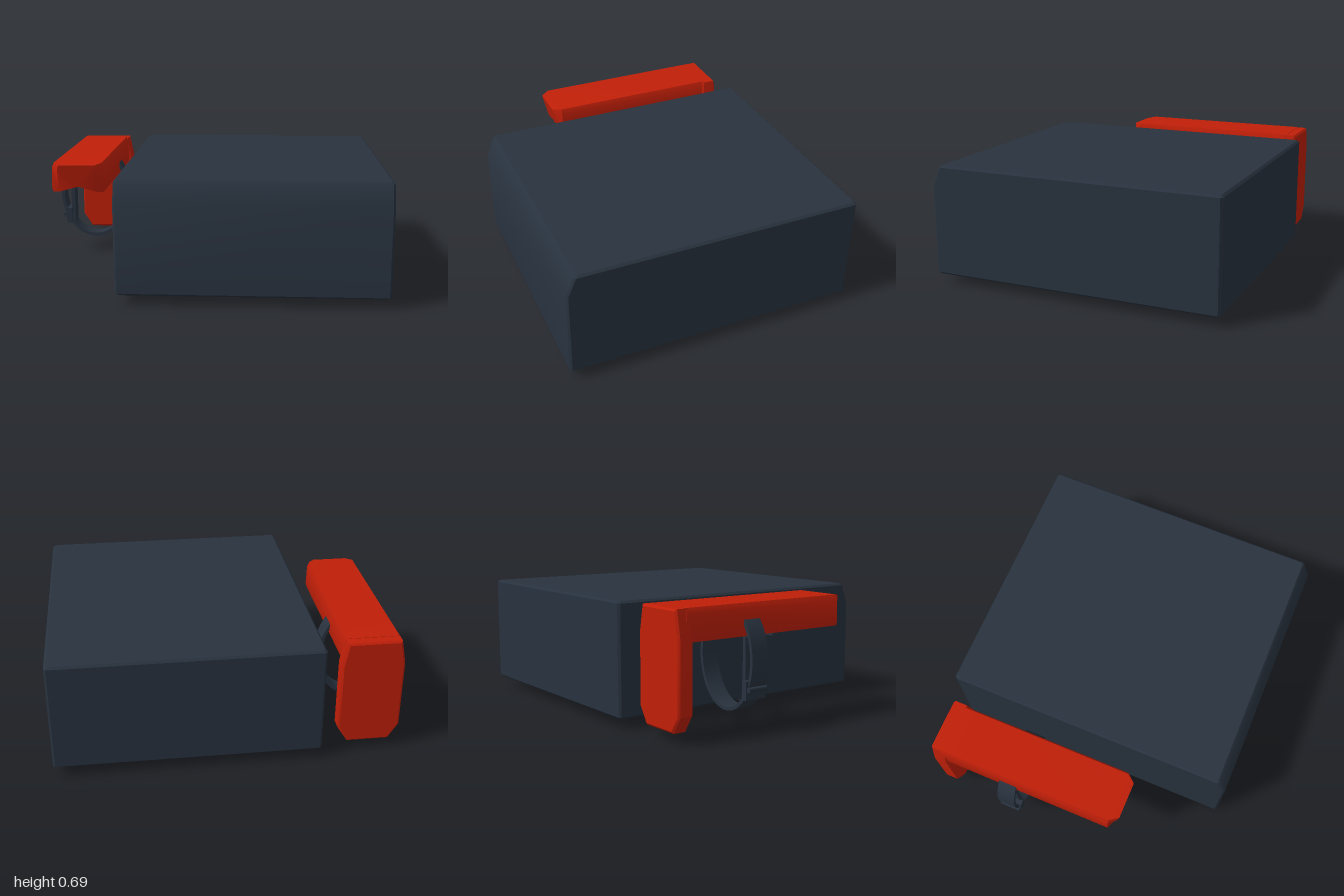
import * as THREE from 'three';
import { toCreasedNormals } from 'three/addons/utils/BufferGeometryUtils.js';

const mat = (name, color) => Object.assign(new THREE.MeshStandardMaterial({ color }), { name });

// Skin a list of closed rings; optional caps at either end
function loft(rings, capStart, capEnd) {
  const p = [];
  const tri = (...v) => v.forEach(q => p.push(...q));
  const n = rings[0].length;
  for (let r = 0; r < rings.length - 1; r++) {
    for (let i = 0; i < n; i++) {
      const j = (i + 1) % n, lo = rings[r], hi = rings[r + 1];
      tri(lo[i], lo[j], hi[j]);
      tri(lo[i], hi[j], hi[i]);
    }
  }
  const first = rings[0], last = rings[rings.length - 1];
  for (let i = 1; i < n - 1; i++) {
    if (capStart) tri(first[0], first[i + 1], first[i]);
    if (capEnd) tri(last[0], last[i], last[i + 1]);
  }
  const g = new THREE.BufferGeometry();
  g.setAttribute('position', new THREE.Float32BufferAttribute(p, 3));
  return toCreasedNormals(g, 0.5);
}

// Horizontal rectangle with cut corners
const rect = (y, x0, x1, z0, z1, c = 0.012) => [
  [x0 + c, y, z1], [x1 - c, y, z1], [x1, y, z1 - c], [x1, y, z0 + c],
  [x1 - c, y, z0], [x0 + c, y, z0], [x0, y, z0 + c], [x0, y, z1 - c]];

export function createModel() {
  const model = new THREE.Group();
  const slate = mat('slate', 0x28323e);
  const red = mat('signal red', 0xc01f08);
  const liner = mat('liner red', 0x8e0a0c);
  const brass = mat('brass', 0xbd8120);
  const steel = mat('steel', 0xa8aaac);

  const add = (name, geo, material, x = 0, y = 0, z = 0) => {
    const m = new THREE.Mesh(geo, material);
    m.name = name;
    m.position.set(x, y, z);
    model.add(m);
    return m;
  };
  const box = (name, w, h, d, m, x, y, z) => add(name, new THREE.BoxGeometry(w, h, d), m, x, y, z);
  const rod = (name, r, a, b, m, r2 = r) => {
    const va = new THREE.Vector3(...a), vb = new THREE.Vector3(...b), d = vb.clone().sub(va);
    const mesh = add(name, toCreasedNormals(new THREE.CylinderGeometry(r2, r, d.length(), 20), 0.7), m,
      ...va.clone().add(vb).multiplyScalar(0.5).toArray());
    mesh.quaternion.setFromUnitVectors(new THREE.Vector3(0, 1, 0), d.normalize());
    return mesh;
  };

  // Cabinet: jamb, rim, outer walls with sloped front top edge, lid
  add('cabinetShell', loft([
    rect(0.13, -0.29, 0.83, -0.61, 0.61),
    rect(0.13, -0.33, 0.86, -0.65, 0.65),
    rect(0.06, -0.33, 0.86, -0.65, 0.65),
    rect(0.055, -0.47, 0.985, -0.825, 0.825),
    rect(0.067, -0.485, 1, -0.84, 0.84),
    rect(0.565, -0.485, 1, -0.84, 0.84),
    rect(0.673, -0.485, 1, -0.84, 0.795),
    rect(0.685, -0.473, 0.988, -0.828, 0.783)], false, true), slate);
  add('cabinetLiner', loft([
    rect(0.62, -0.32, 0.85, -0.64, 0.64),
    rect(0.13, -0.32, 0.85, -0.64, 0.64)], false, false), liner);
  box('cabinetBackPanel', 1.17, 0.008, 1.28, red, 0.265, 0.62, 0);

  // Door frame around the opening
  const frame = new THREE.Shape([[-0.41, -0.74], [0.93, -0.74], [0.93, 0.74], [-0.41, 0.74]]
    .map(q => new THREE.Vector2(...q)));
  frame.holes.push(new THREE.Path([[-0.35, -0.67], [-0.35, 0.67], [0.88, 0.67], [0.88, -0.67]]
    .map(q => new THREE.Vector2(...q))));
  add('doorFrame', new THREE.ExtrudeGeometry(frame, { depth: 0.012, bevelEnabled: false }),
    slate, 0, 0.06, 0).rotation.x = Math.PI / 2;

  // Hinges and latch
  for (const z of [0.505, -0.48]) rod('hinge', 0.015, [0.885, 0.038, z - 0.075], [0.885, 0.038, z + 0.075], slate);
  box('latch', 0.07, 0.025, 0.13, slate, -0.36, 0.043, 0.07);
  box('latchCatch', 0.035, 0.008, 0.06, steel, -0.36, 0.028, 0.07);

  // Hydrant pipe, valve body, outlet and coupling
  const px = -0.06;
  rod('supplyPipe', 0.075, [px, 0.31, -0.64], [px, 0.31, -0.2], brass);
  rod('valveBody', 0.085, [px, 0.32, -0.28], [px, 0.31, 0.12], brass);
  for (const z of [-0.15, -0.05, 0.05, 0.13]) rod('valveRib', 0.1, [px, 0.31, z - 0.02], [px, 0.31, z + 0.02], brass);
  rod('valveNeck', 0.065, [px, 0.31, 0.12], [px, 0.33, 0.26], brass);
  rod('coupling', 0.06, [px, 0.33, 0.26], [px, 0.35, 0.43], slate);
  rod('couplingCollar', 0.075, [px, 0.34, 0.33], [px, 0.345, 0.38], slate);
  rod('outletPipe', 0.065, [px, 0.045, -0.265], [px, 0.34, -0.265], brass);
  rod('outletCollar', 0.07, [px, 0.03, -0.265], [px, 0.07, -0.265], brass);
  rod('outletMouth', 0.055, [px, 0.026, -0.265], [px, 0.034, -0.265], slate);
  rod('valveBonnet', 0.05, [px, 0.14, 0.025], [px, 0.3, 0.025], brass, 0.065);

  // Hand wheel
  const wx = -0.05, wz = 0.025;
  add('handWheelRim', new THREE.TorusGeometry(0.107, 0.021, 12, 32), red, wx, 0.04, wz).rotation.x = Math.PI / 2;
  for (let i = 0; i < 5; i++) {
    const a = i * Math.PI * 2 / 5;
    rod('handWheelSpoke', 0.015, [wx, 0.04, wz], [wx + 0.11 * Math.cos(a), 0.04, wz + 0.11 * Math.sin(a)], red);
  }
  rod('handWheelHub', 0.038, [wx, 0.018, wz], [wx, 0.14, wz], red);
  rod('wheelStem', 0.02, [wx, 0, wz], [wx, 0.03, wz], steel);

  // Hose rack comb
  box('rackBar', 0.015, 0.02, 0.44, steel, 0.35, 0.46, 0.27);
  for (let i = 0; i < 12; i++) box('rackTooth', 0.018, 0.03, 0.012, steel, 0.35, 0.44, 0.07 + i * 0.036);
  for (const z of [0.09, 0.45]) box('rackHanger', 0.015, 0.15, 0.02, liner, 0.35, 0.545, z);

  // Bracket back plate
  const bx = -0.768;
  const half = [[0.112, 0.066], [0.165, 0.15], [0.165, 0.54], [0.14, 0.672]];
  const plate = new THREE.Shape([...half, ...half.map(([x, y]) => [-x, y]).reverse()]
    .map(q => new THREE.Vector2(...q)));
  add('bracketPlate', toCreasedNormals(new THREE.ExtrudeGeometry(plate,
    { depth: 0.07, bevelThickness: 0.01, bevelSize: 0.011, bevelSegments: 1 }), 0.5), red, -0.761, 0, -0.77);

  // Bracket hood with an arched underside and an undercut, tapered nose
  const hood = (z, s, top, lean = 0) => [[0, 0.545], [0.15, 0.513], [0.157, 0.54], [0.153, 0.655], [0.14, top],
    [-0.14, top], [-0.153, 0.655], [-0.157, 0.54], [-0.15, 0.513]]
    .map(([x, y]) => [bx + x * s, y, z - lean * (top - y)]);
  add('bracketHood', loft([hood(-0.72, 1, 0.685), hood(0.305, 1, 0.685), hood(0.355, 0.74, 0.677, 0.25)],
    true, true), red);

  // Support strap: flat oval band
  const band = new THREE.Shape().absellipse(0, 0, 0.22, 0.29, 0, Math.PI * 2);
  band.holes.push(new THREE.Path().absellipse(0, 0, 0.201, 0.271, 0, Math.PI * 2, true));
  add('strap', toCreasedNormals(new THREE.ExtrudeGeometry(band,
    { depth: 0.105, bevelEnabled: false, curveSegments: 32 }), 0.6), slate, -0.773, 0.388, -0.36);

  // Strap buckle, tail and pads under the hood
  box('buckle', 0.035, 0.10, 0.13, slate, -0.945, 0.235, -0.31);
  rod('bucklePin', 0.014, [-0.972, 0.24, -0.37], [-0.972, 0.24, -0.25], slate);
  box('strapTail', 0.022, 0.32, 0.09, slate, -0.92, 0.35, -0.31);
  for (const s of [-1, 1]) box('hoodPad', 0.06, 0.03, 0.10, slate, bx + s * 0.105, 0.51, -0.1);
  rod('hangerBolt', 0.03, [bx, 0.525, -0.1], [bx, 0.56, -0.1], steel);

  return model;
}
